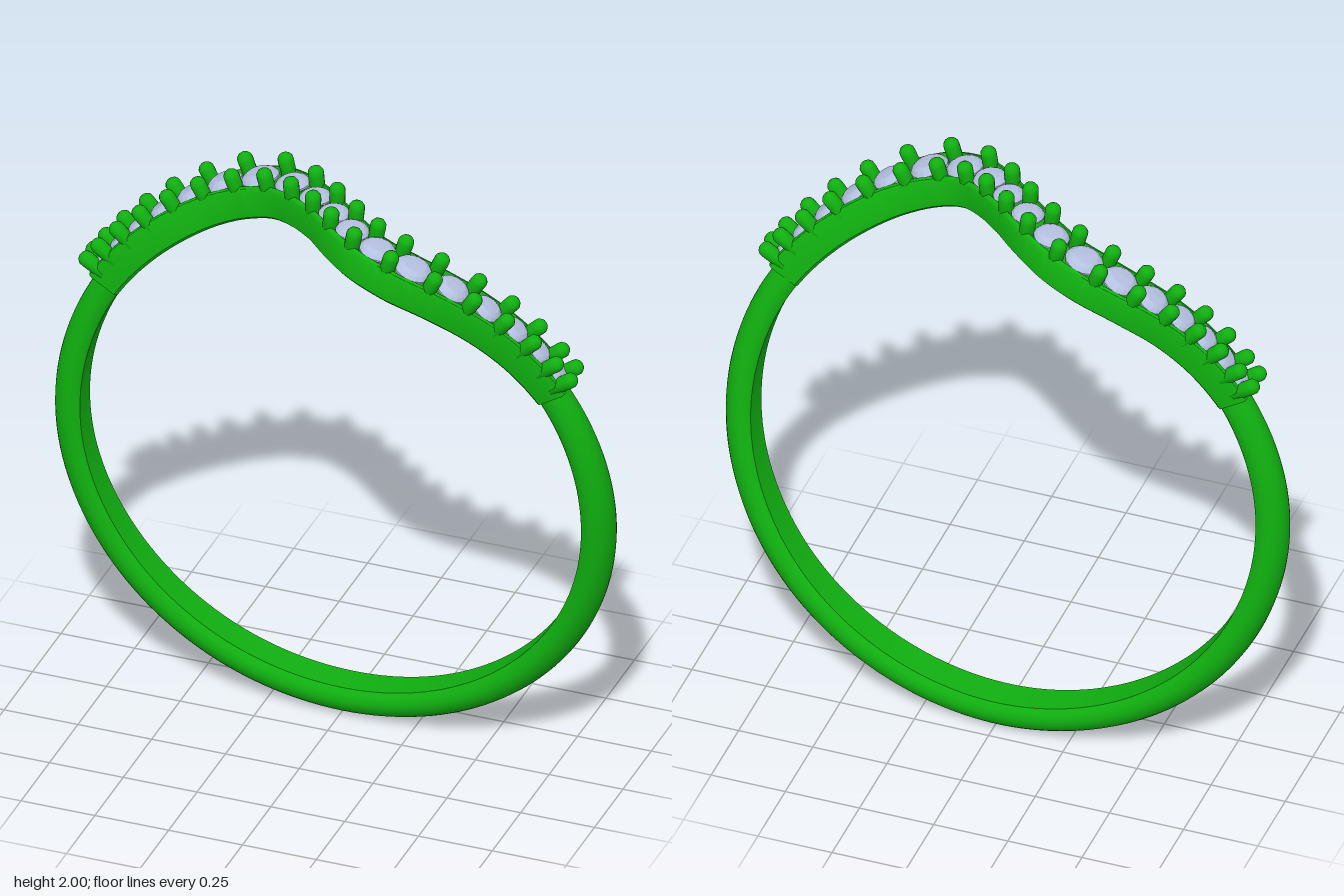
import * as THREE from 'three';
import { toCreasedNormals } from 'three/addons/utils/BufferGeometryUtils.js';

const CY = 0.963; // height of the ring axis
const green = new THREE.MeshStandardMaterial({ color: 0x10b010 });
const stone = new THREE.MeshStandardMaterial({ color: 0xb4c0e0, flatShading: true });

// Linear interpolation through [key, value] pairs
function ramp(table, k) {
  for (let i = 1; i < table.length; i++) {
    const [a, va] = table[i - 1], [b, vb] = table[i];
    if (k <= b) return va + (vb - va) * Math.max(0, (k - a) / (b - a));
  }
  return table[table.length - 1][1];
}

// Curve around the ring through [angle in degrees, z] pairs
function ringCurve(stations, r) {
  return new THREE.CatmullRomCurve3(stations.map(([deg, z]) => {
    const a = THREE.MathUtils.degToRad(deg);
    return new THREE.Vector3(r * Math.cos(a), r * Math.sin(a), z);
  }), false, 'centripetal');
}

// Local axes on the ring: radial (outward), side (across the band), z offset
function frameAt(curve, t) {
  const p = curve.getPointAt(t), tan = curve.getTangentAt(t);
  const radial = new THREE.Vector3(p.x, p.y, 0).normalize();
  const side = radial.clone().cross(tan).normalize();
  const along = side.clone().cross(radial);
  const at = (u, r) => new THREE.Vector3(0, CY, p.z).addScaledVector(radial, r).addScaledVector(side, u);
  return { radial, side, along, at };
}

// Sweep a closed cross-section of [across, radius] points, with capped ends
function sweep(curve, n, section, crease) {
  const pos = [], idx = [];
  const m = section(0).length;
  for (let i = 0; i <= n; i++) {
    const f = frameAt(curve, i / n);
    for (const [u, r] of section(i / n)) pos.push(...f.at(u, r).toArray());
  }
  for (let i = 0; i < n; i++) {
    for (let j = 0; j < m; j++) {
      const a = i * m + j, b = i * m + (j + 1) % m;
      idx.push(a, b, b + m, a, b + m, a + m);
    }
  }
  for (const end of [0, 1]) {
    const pts = section(end).map(([u, r]) => new THREE.Vector2(u, r));
    for (const [a, b, c] of THREE.ShapeUtils.triangulateShape(pts, [])) {
      const o = end * n * m;
      if (end) idx.push(o + a, o + b, o + c);
      else idx.push(o + a, o + c, o + b);
    }
  }
  const g = new THREE.BufferGeometry();
  g.setAttribute('position', new THREE.Float32BufferAttribute(pos, 3));
  g.setIndex(idx);
  return toCreasedNormals(g, crease);
}

function addMesh(parent, name, geometry, material) {
  const mesh = new THREE.Mesh(geometry, material);
  mesh.name = name;
  parent.add(mesh);
  return mesh;
}

// Stand a y-up part on the ring
function place(mesh, f, u, r) {
  mesh.position.copy(f.at(u, r));
  mesh.quaternion.setFromRotationMatrix(new THREE.Matrix4().makeBasis(f.along, f.radial, f.side.clone().negate()));
  if (mesh.matrix.determinant() < 0) mesh.quaternion.identity();
}

export function createModel() {
  const ring = new THREE.Group();
  ring.name = 'ring';

  // Shank: flat inside, domed outside, wider at the bottom
  const shankCurve = ringCurve([[-213, -0.1], [-180, -0.105], [-145, -0.135], [-90, -0.155],
    [-40, -0.11], [0, -0.035], [33, 0.03]], 0.91);
  const shankWidth = [[0, 0.098], [0.14, 0.125], [0.3, 0.143], [0.5, 0.15], [0.7, 0.145], [0.87, 0.135], [1, 0.098]];
  const shankSection = (t) => {
    const h = ramp(shankWidth, t) / 2, bulge = 0.006 * Math.sin(Math.PI * t);
    const pts = [[-h * 0.72, 0.865 - bulge], [h * 0.72, 0.865 - bulge], [h * 0.92, 0.874]];
    for (let i = 0; i <= 14; i++) {
      const a = Math.PI * i / 14;
      pts.push([h * Math.cos(a), 0.897 + (0.06 + bulge) * Math.sin(a)]);
    }
    pts.push([-h * 0.92, 0.874]);
    return pts;
  };
  addMesh(ring, 'shank', sweep(shankCurve, 120, shankSection, 0.7), green);

  // Crown: wavy setting rail with a slot underneath
  const waveX = [[-0.835, -0.1], [-0.72, -0.112], [-0.6, -0.132], [-0.47, -0.158], [-0.34, -0.165], [-0.22, -0.142],
    [-0.1, -0.075], [0, 0], [0.1, 0.08], [0.2, 0.139], [0.31, 0.16], [0.45, 0.142], [0.6, 0.1],
    [0.72, 0.064], [0.835, 0.03]];
  const crownCurve = ringCurve(waveX.map(([x, z]) => [THREE.MathUtils.radToDeg(Math.acos(x / 0.98)), z]), 0.98);
  crownCurve.arcLengthDivisions = 600;
  const stoneSize = (t) => ramp([[0, 0.075], [0.32, 0.13], [0.5, 0.1], [0.68, 0.13], [1, 0.075]], t);
  const crownSection = (t) => {
    const h = stoneSize(t) / 2 + 0.018, s = h * 0.42;
    const floor = 0.865 + 0.065 * THREE.MathUtils.smoothstep(Math.min(t, 1 - t), 0.02, 0.05);
    const right = [[s, floor], [s, 0.863], [h - 0.01, 0.863], [h, 0.873], [h, 0.963],
      [h - 0.006, 0.972], [h - 0.016, 0.976], [h - 0.026, 0.952]];
    return [...right, ...right.map(([u, r]) => [-u, r]).reverse()];
  };
  addMesh(ring, 'crownRail', sweep(crownCurve, 140, crownSection, 0.6), green);

  // Unit stone: table, girdle and pointed underside
  const stoneGeo = new THREE.LatheGeometry([[0, -0.4], [0.5, -0.03], [0.5, 0.02], [0.42, 0.12], [0.3, 0.19], [0, 0.21]]
    .map(([x, y]) => new THREE.Vector2(x, y)), 16);
  // Prong: short post with a rounded tip
  const prongGeo = new THREE.LatheGeometry([[0, -0.06], [0.024, -0.06], [0.026, 0.012], [0.025, 0.024],
    [0.018, 0.034], [0.009, 0.039], [0, 0.04]].map(([x, y]) => new THREE.Vector2(x, y)), 14);

  const stones = new THREE.Group(), prongs = new THREE.Group();
  stones.name = 'stones';
  prongs.name = 'prongs';
  ring.add(stones, prongs);

  // A row of stones, with a pair of prongs in every gap
  const length = crownCurve.getLength();
  const spots = [];
  let t = 0.026;
  while (t < 0.985) {
    spots.push(t);
    t += 1.08 * stoneSize(t) / length;
  }
  const fit = (0.974 - 0.026) / (spots[spots.length - 1] - 0.026);
  const centres = spots.map((s) => 0.026 + (s - 0.026) * fit);
  centres.forEach((c) => {
    const gem = addMesh(stones, 'stone', stoneGeo, stone);
    gem.scale.setScalar(stoneSize(c));
    place(gem, frameAt(crownCurve, c), 0, 0.97);
  });
  for (let i = 0; i <= centres.length; i++) {
    const gap = ((centres[i - 1] ?? 0.004) + (centres[i] ?? 0.996)) / 2;
    const f = frameAt(crownCurve, gap);
    for (const s of [-1, 1]) {
      place(addMesh(prongs, 'prong', prongGeo, green), f, s * stoneSize(gap) * 0.44, 0.996);
    }
  }
  return ring;
}
